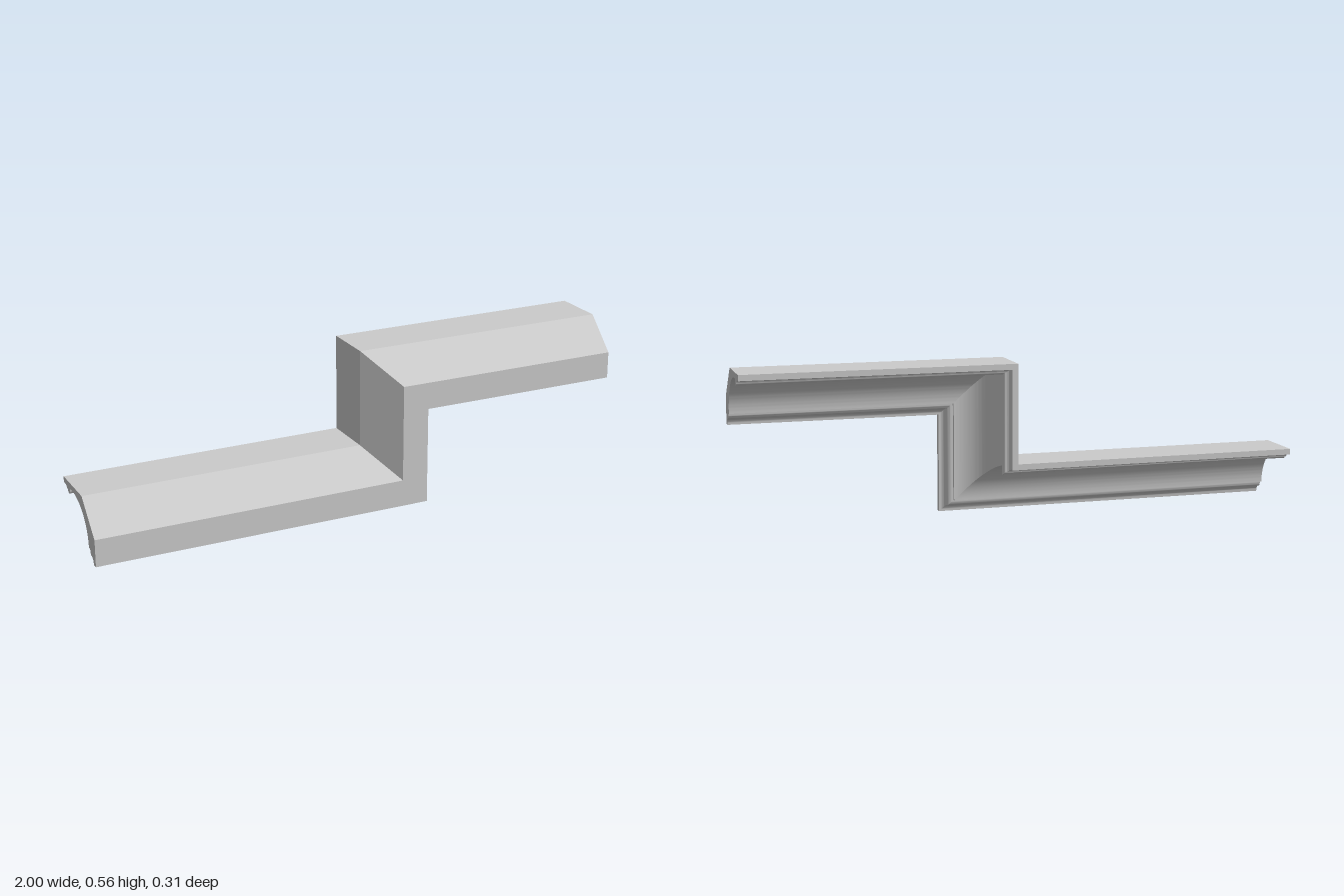
import * as THREE from 'three';
import { toCreasedNormals } from 'three/addons/utils/BufferGeometryUtils.js';

const RISE = 0.353;   // height step between the two horizontal runs
const CORNER = 0.247; // x of the riser's outer face

// Points of an elliptical arc in the (z, h) profile plane, angles in degrees
function arc(cz, ch, rz, rh, from, to, n) {
  return Array.from({ length: n + 1 }, (_, i) => {
    const a = THREE.MathUtils.degToRad(from + (to - from) * i / n);
    return [cz + rz * Math.cos(a), ch + rh * Math.sin(a)];
  });
}

// Moulding cross-section: underside from front to back, then over the top
const profile = [
  [0.153, 0], [0.132, 0],
  ...arc(0.113, 0.003, 0.019, 0.021, 0, 90, 10),            // cyma, hollow half
  ...arc(0.113, 0.043, 0.012, 0.019, 270, 180, 10).slice(1), // cyma, round half
  [0.101, 0.045],
  ...arc(-0.066, 0.045, 0.154, 0.146, 0, 97, 40),           // large cove
  ...arc(-0.0985, 0.182, 0.0125, 0.0125, 0, -180, 16),      // bead
  [-0.12, 0.179],
  ...arc(-0.138, 0.179, 0.017, 0.0125, 0, 90, 10),          // back hollow
  [-0.153, 0.1915], [-0.153, 0.212], [0.038, 0.212], [0.153, 0.098],
];

// Sections along the path; the two middle ones are mitred
const sections = [
  ([z, h]) => [-1, h, z],
  ([z, h]) => [CORNER - h, h, z],
  ([z, h]) => [CORNER - h, h + RISE, z],
  ([z, h]) => [1, h + RISE, z],
];

// One straight run between two sections, with an optional end cap
function run(name, from, to, material, cap) {
  const a = profile.map(from), b = profile.map(to), pos = [];
  for (let i = 0; i < a.length; i++) {
    const j = (i + 1) % a.length;
    pos.push(...a[i], ...a[j], ...b[j], ...a[i], ...b[j], ...b[i]);
  }
  if (cap) {
    const outline = profile.map(([z, h]) => new THREE.Vector2(-z, h));
    for (const [i, j, k] of THREE.ShapeUtils.triangulateShape(outline, [])) {
      if (cap === 'start') pos.push(...a[i], ...a[k], ...a[j]);
      else pos.push(...b[i], ...b[j], ...b[k]);
    }
  }
  const geometry = new THREE.BufferGeometry();
  geometry.setAttribute('position', new THREE.Float32BufferAttribute(pos, 3));
  const mesh = new THREE.Mesh(toCreasedNormals(geometry, Math.PI / 6), material);
  mesh.name = name;
  return mesh;
}

export function createModel() {
  const group = new THREE.Group();
  group.name = 'steppedMoulding';
  const material = new THREE.MeshStandardMaterial({ color: 0xcccccc });
  group.add(
    run('lowerRun', sections[0], sections[1], material, 'start'),
    run('riser', sections[1], sections[2], material),
    run('upperRun', sections[2], sections[3], material, 'end'),
  );
  return group;
}
